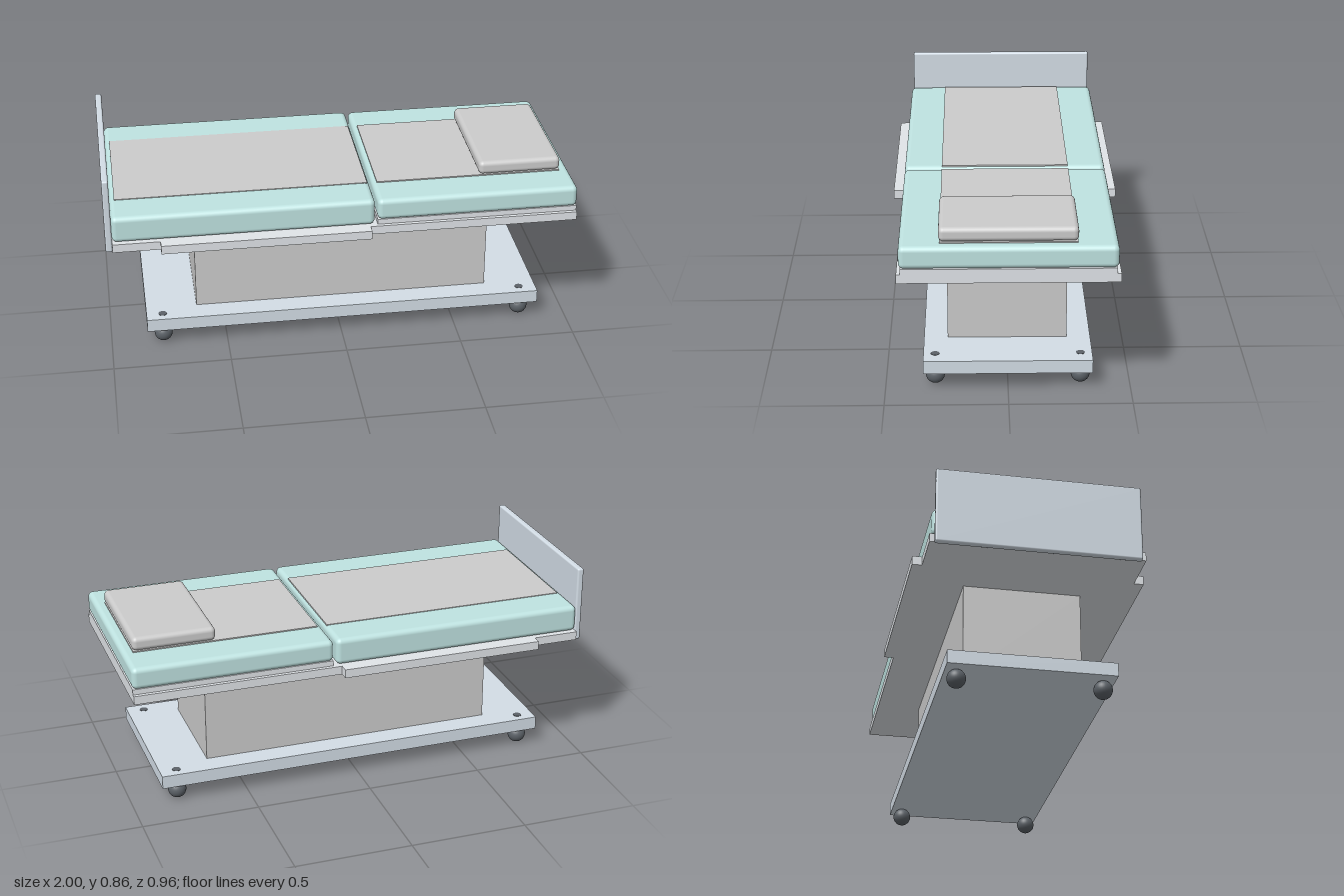
import * as THREE from 'three';
import { RoundedBoxGeometry } from 'three/addons/geometries/RoundedBoxGeometry.js';

const material = (color) => new THREE.MeshStandardMaterial({ color });

export function createModel() {
  const model = new THREE.Group();
  model.name = 'treatmentBed';

  const grey = material(0xcccccc);
  const steel = material(0xd3dde6);
  const paleSteel = material(0xe0e4e8);
  const teal = material(0xbfe3e1);
  const rubber = material(0x5c6268);

  const add = (name, geometry, mat, x, y, z) => {
    const mesh = new THREE.Mesh(geometry, mat);
    mesh.name = name;
    mesh.position.set(x, y, z);
    model.add(mesh);
  };

  // Box between min and max on each axis, with rounded edges if a radius is given
  const box = (name, mat, [x0, x1], [y0, y1], [z0, z1], radius = 0) => {
    const size = [x1 - x0, y1 - y0, z1 - z0];
    const geometry = radius
      ? new RoundedBoxGeometry(...size, 4, radius)
      : new THREE.BoxGeometry(...size);
    add(name, geometry, mat, (x0 + x1) / 2, (y0 + y1) / 2, (z0 + z1) / 2);
  };

  // Base and lifting column
  box('base', steel, [-0.845, 0.873], [0.073, 0.13], [-0.345, 0.345]);
  box('column', grey, [-0.625, 0.653], [0.13, 0.535], [-0.247, 0.247]);

  // Ball casters, with stems just showing through the base
  const ball = new THREE.SphereGeometry(0.039, 32, 20);
  const stem = new THREE.CylinderGeometry(0.018, 0.018, 0.075, 24);
  for (const x of [-0.775, 0.8]) {
    for (const z of [-0.297, 0.297]) {
      add('caster', ball, rubber, x, 0.039, z);
      add('casterStem', stem, rubber, x, 0.094, z);
    }
  }

  // Bed frame, raised backrest plate and side rails
  box('frame', paleSteel, [-0.972, 0.997], [0.534, 0.571], [-0.441, 0.441]);
  box('backrestPlate', paleSteel, [0.14, 0.997], [0.571, 0.594], [-0.425, 0.425]);
  for (const side of [-1, 1]) {
    const z = [side * 0.441, side * 0.482].sort((a, b) => a - b);
    box('sideRail', paleSteel, [-0.773, 0.108], [0.534, 0.572], z);
  }

  // Mattress sections
  box('legMattress', teal, [-0.972, 0.128], [0.572, 0.688], [-0.432, 0.432], 0.022);
  box('backMattress', teal, [0.14, 0.998], [0.592, 0.686], [-0.432, 0.432], 0.022);

  // Cover sheets and pillow
  box('legSheet', grey, [-0.952, 0.118], [0.68, 0.691], [-0.272, 0.272]);
  box('backSheet', grey, [0.16, 0.955], [0.68, 0.691], [-0.272, 0.272]);
  box('pillow', grey, [0.603, 0.957], [0.69, 0.749], [-0.275, 0.275], 0.02);

  // End board
  box('endBoard', steel, [-1, -0.972], [0.525, 0.857], [-0.422, 0.422], 0.008);

  return model;
}
